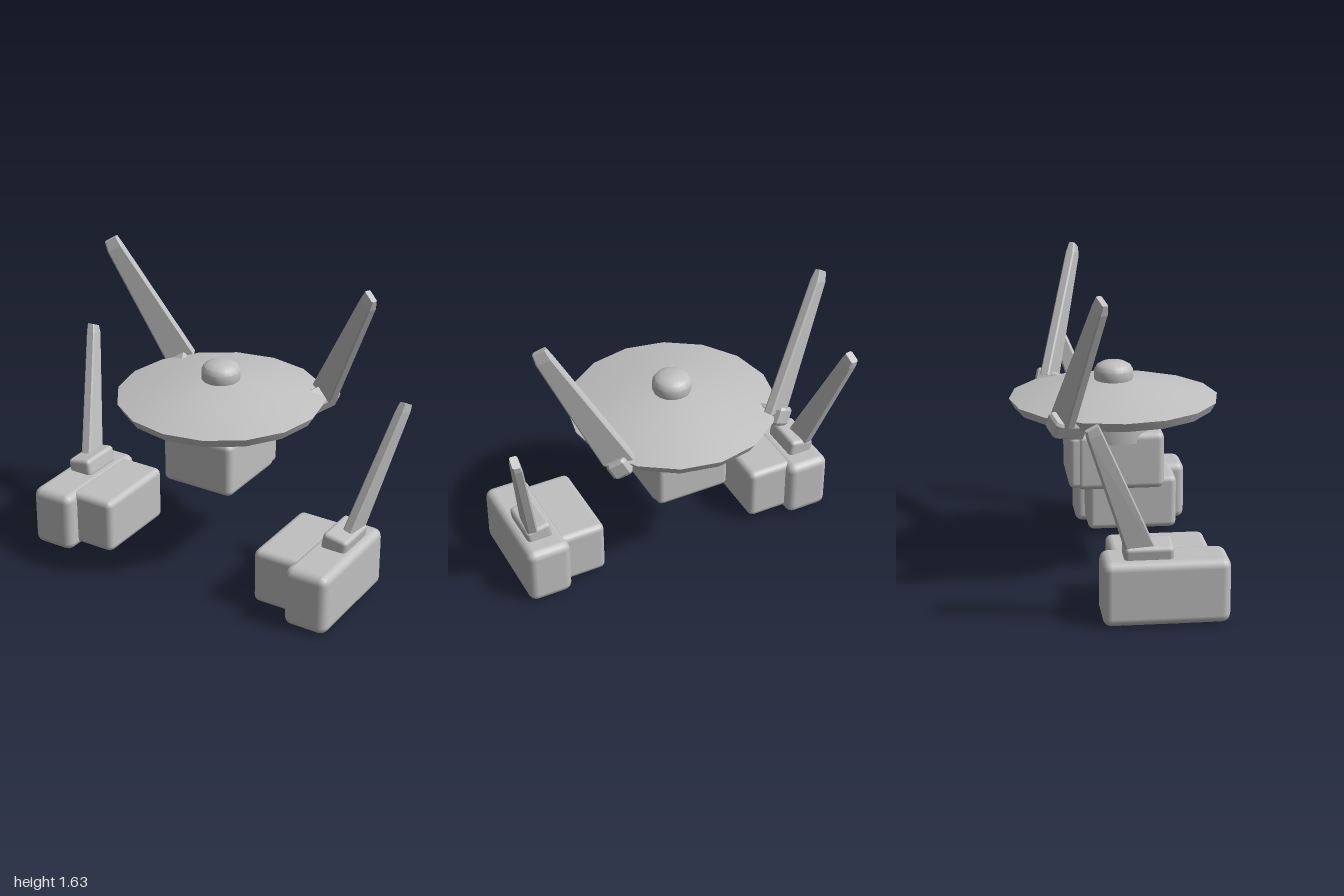
import * as THREE from 'three';
import { toCreasedNormals } from 'three/addons/utils/BufferGeometryUtils.js';
import { RoundedBoxGeometry } from 'three/addons/geometries/RoundedBoxGeometry.js';
import { ConvexGeometry } from 'three/addons/geometries/ConvexGeometry.js';

export function createModel() {
  const model = new THREE.Group();
  model.name = 'model';
  const grey = new THREE.MeshStandardMaterial({ color: 0xc0c0c0 });
  grey.name = 'plain grey';

  function add(name, geometry, parent = model) {
    const mesh = new THREE.Mesh(geometry, grey);
    mesh.name = name;
    parent.add(mesh);
    return mesh;
  }

  // Bevelled box given by its minimum and maximum corners
  function box(name, min, max, radius, parent) {
    const size = max.map((v, i) => v - min[i]);
    const mesh = add(name, new RoundedBoxGeometry(...size, 2, radius), parent);
    mesh.position.set(...max.map((v, i) => (v + min[i]) / 2));
    return mesh;
  }

  // Turned part with 16 sides
  function turned(name, profile, crease) {
    const points = profile.map(([r, y]) => new THREE.Vector2(r, y));
    return add(name, toCreasedNormals(new THREE.LatheGeometry(points, 16), crease));
  }

  // Bevelled bar: sections are [centre, half width, half thickness, drop per unit of width]
  function bar(name, sections, wide, thick, side, parent) {
    const points = [];
    for (const [c, hw, ht, drop = 0] of sections) {
      const b = Math.min(hw, ht) * 0.3;
      for (const su of [-1, 1]) for (const sv of [-1, 1])
        for (const [u, v] of [[hw - b, ht], [hw, ht - b]]) {
          const p = c.map((k, i) => k + wide[i] * u * su + thick[i] * v * sv);
          points.push(new THREE.Vector3(p[0] * side, p[1] - drop * u * su, p[2]));
        }
    }
    return add(name, new ConvexGeometry(points), parent);
  }

  // Saucer, knob and neck
  turned('saucer', [[0, 0.84], [0.24, 0.84], [0.525, 0.888], [0.553, 0.937],
    [0.33, 0.995], [0.12, 1.028], [0, 1.035]], 0.5);
  turned('knob', [[0.095, 1.01], [0.104, 1.04], [0.104, 1.08], [0.09, 1.105],
    [0.06, 1.122], [0, 1.123]], 0.6);
  turned('neck', [[0, 0.732], [0.235, 0.732], [0.235, 0.85]], 0.6);

  // Central body with a back slab
  box('body', [-0.21, 0.48, -0.215], [0.21, 0.785, 0.247], 0.035);
  box('backSlab', [-0.205, 0.49, -0.255], [0.205, 0.775, -0.15], 0.03);

  for (const side of [1, -1]) {
    const label = side > 0 ? 'left' : 'right';

    // Upper fin and the bracket that clamps it to the saucer rim
    const upper = new THREE.Group();
    upper.name = label + 'UpperArm';
    model.add(upper);
    bar('upperFin', [
      [[0.455, 0.94, -0.305], 0.08, 0.027, 0.3],
      [[0.765, 1.56, -0.15], 0.04, 0.026, 0.5],
      [[0.785, 1.61, -0.14], 0.032, 0.016, 0.6],
    ], [0.89, 0, 0.45], [-0.45, 0, 0.89], side, upper);
    const lean = [0.442, 0.87, 0.221];
    const level = (d) => lean.map((k, i) => [0.44, 0.905, -0.285][i] + k * d);
    bar('rimBracket', [
      [level(-0.05), 0.045, 0.085], [level(-0.035), 0.055, 0.095],
      [level(0.035), 0.055, 0.095], [level(0.05), 0.045, 0.085],
    ], [0.78, -0.49, 0.39], [-0.44, -0.2, 0.87], side, upper);

    // Side pod: two joined boxes, pedestal and lower fin
    const pod = new THREE.Group();
    pod.name = label + 'Pod';
    model.add(pod);
    const podBox = (name, x0, x1, y0, y1, z0, z1, r) => box(name,
      [side > 0 ? x0 : -x1, y0, z0], [side > 0 ? x1 : -x0, y1, z1], r, pod);
    podBox('outerBox', 0.668, 0.914, 0, 0.335, -0.15, 0.487, 0.045);
    podBox('innerBox', 0.447, 0.72, 0.025, 0.332, -0.095, 0.41, 0.035);
    const pedestal = podBox('pedestal', 0.73, 0.872, 0.31, 0.41, -0.04, 0.205, 0.022);
    pedestal.rotation.z = -0.17 * side;
    bar('lowerFin', [
      [[0.825, 0.36, 0.05], 0.078, 0.029],
      [[0.965, 1.005, -0.195], 0.038, 0.026, 0.3],
      [[0.974, 1.045, -0.208], 0.031, 0.021, 0.5],
    ], [0.1, 0, -0.995], [0.995, 0, 0.1], side, pod);
  }
  return model;
}
